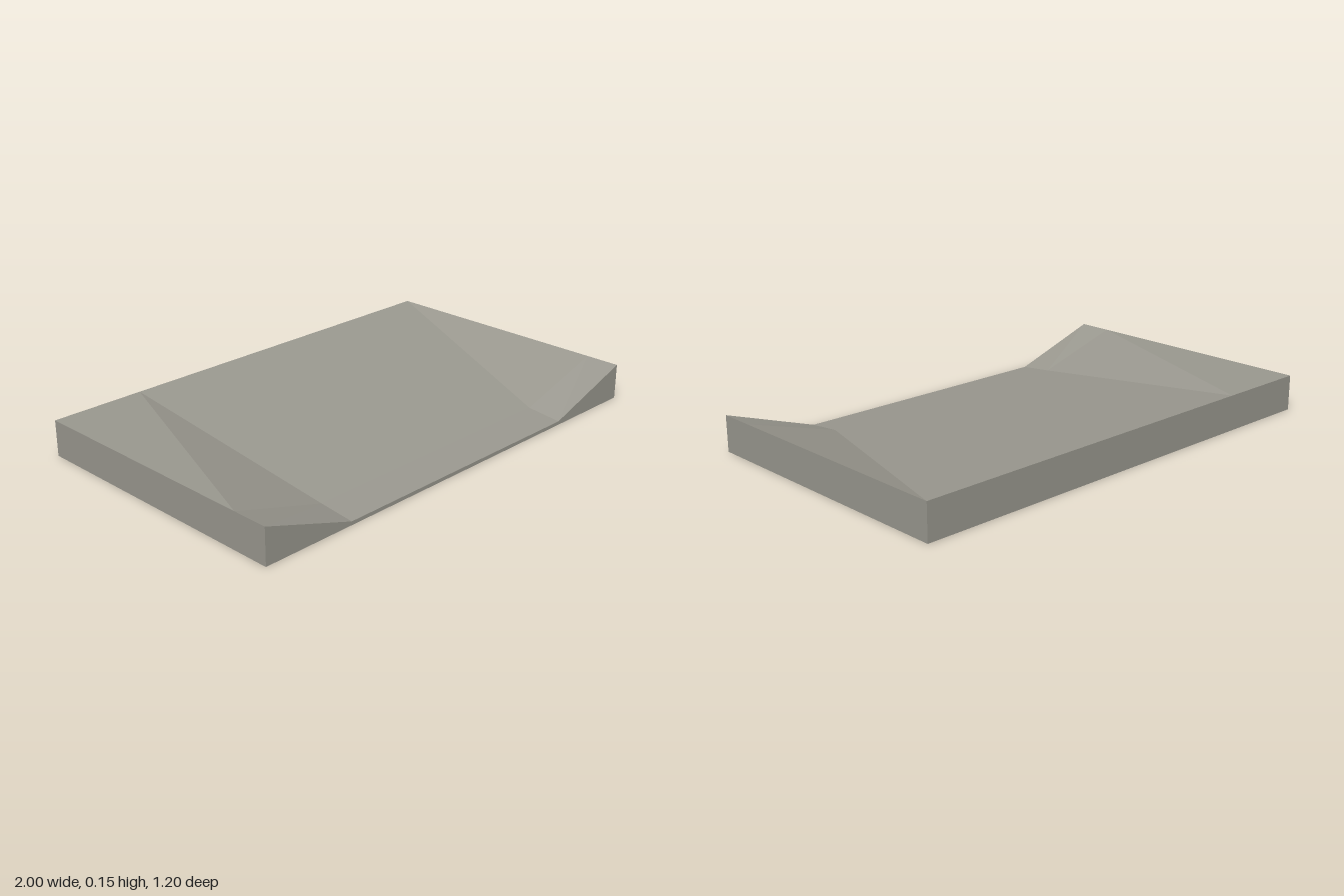
import * as THREE from 'three';

const concrete = new THREE.MeshStandardMaterial({ color: 0x9b9990 });
concrete.name = 'concrete';

const HEIGHT = 0.15, HALF_WIDTH = 1, HALF_DEPTH = 0.6;
const CHANNEL_HALF = 0.6; // half width of the sloping channel
const BREAK_Z = 0.45; // where the slope meets the front lip

// Height of the channel floor at the back, the break line and the front lip
function floorHeight(z) {
  if (z > BREAK_Z + 0.01) return 0.015;
  return z > 0 ? 0.03 : HEIGHT;
}

export function createModel() {
  const group = new THREE.Group();
  group.name = 'ramp';

  // Slab of 3 x 2 cells whose inner top corners sink towards the front
  let geometry = new THREE.BoxGeometry(2 * HALF_WIDTH, HEIGHT, 2 * HALF_DEPTH, 3, 1, 2);
  geometry.translate(0, HEIGHT / 2, 0);
  const p = geometry.attributes.position;
  for (let i = 0; i < p.count; i++) {
    const inner = Math.abs(p.getX(i)) < 0.9;
    if (inner) p.setX(i, Math.sign(p.getX(i)) * CHANNEL_HALF);
    if (Math.abs(p.getZ(i)) < 0.01) p.setZ(i, BREAK_Z);
    if (inner && p.getY(i) > 0.1) p.setY(i, floorHeight(p.getZ(i)));
  }

  // Hard facets
  geometry = geometry.toNonIndexed();
  geometry.computeVertexNormals();

  const slab = new THREE.Mesh(geometry, concrete);
  slab.name = 'rampSlab';
  group.add(slab);
  return group;
}
